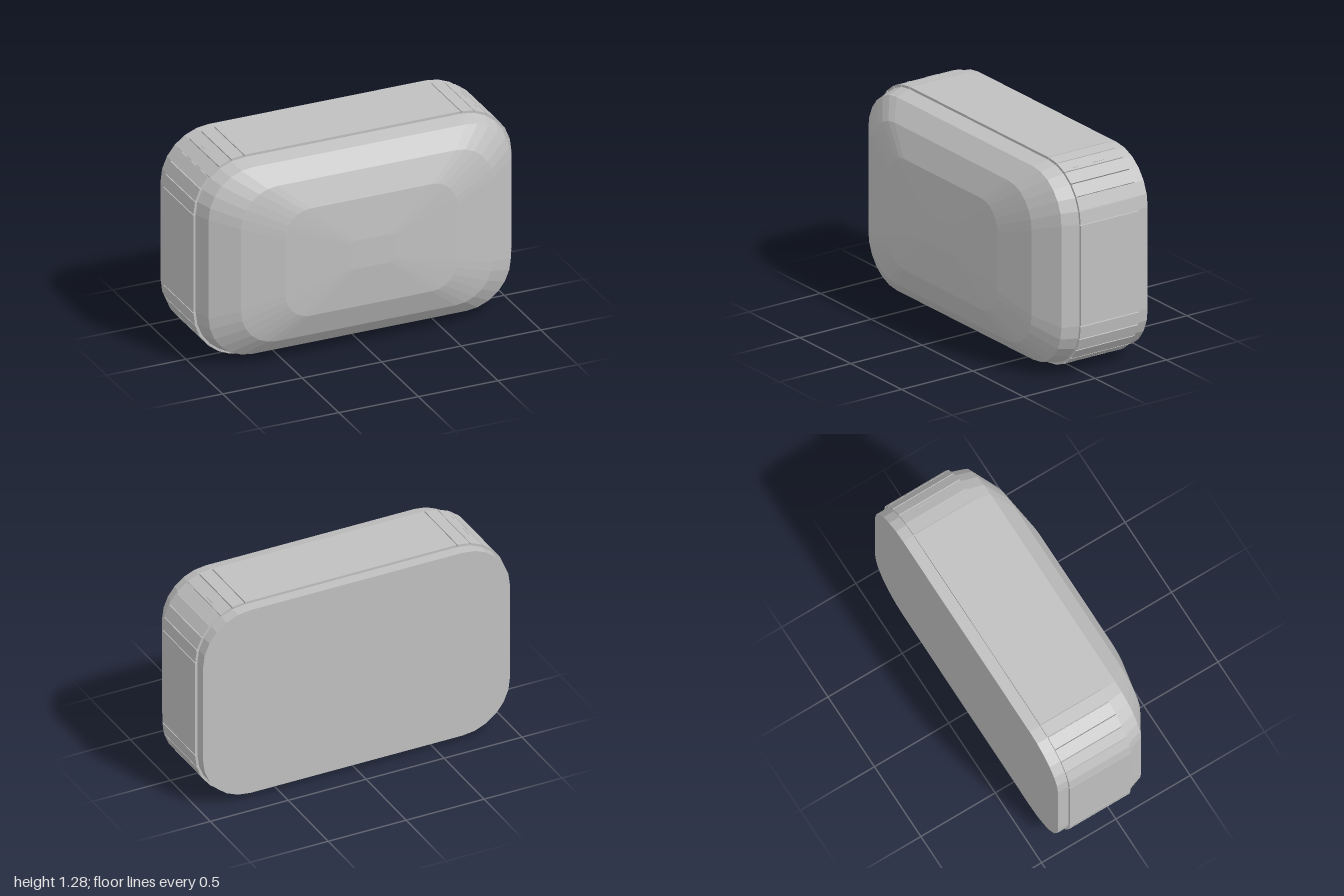
import * as THREE from 'three';

const CY = 0.648, STEPS = 6, BACK = -0.31, FRONT = 0.1, SKIN = 0.015;

// Rounded rectangle outline, anticlockwise seen from the front
function outline(hx, hy, r) {
  const pts = [];
  for (let c = 0; c < 4; c++) {
    const sx = c === 0 || c === 3 ? 1 : -1, sy = c < 2 ? 1 : -1;
    for (let i = 0; i <= STEPS; i++) {
      const a = (c + i / STEPS) * Math.PI / 2;
      pts.push([sx * (hx - r) + r * Math.cos(a), CY + sy * (hy - r) + r * Math.sin(a)]);
    }
  }
  return pts;
}

// Skin joining outlines from back to front; skip(ring, edge) leaves a face open
function loft(rings, capBack, capFront, skip = () => false) {
  const pos = [], n = rings[0].pts.length;
  const vert = (k, i) => [...rings[k].pts[i % n], rings[k].z];
  const tri = (...v) => v.forEach(p => pos.push(...p));
  for (let k = 0; k < rings.length - 1; k++) {
    for (let i = 0; i < n; i++) {
      if (skip(k, i)) continue;
      const a = vert(k, i), b = vert(k, i + 1), c = vert(k + 1, i + 1), d = vert(k + 1, i);
      tri(a, b, c);
      tri(a, c, d);
    }
  }
  const last = rings.length - 1;
  for (let i = 0; i < n; i++) {
    if (capBack) tri([0, CY, rings[0].z], vert(0, i + 1), vert(0, i));
    if (capFront) tri([0, CY, rings[last].z], vert(last, i), vert(last, i + 1));
  }
  const g = new THREE.BufferGeometry();
  g.setAttribute('position', new THREE.Float32BufferAttribute(pos, 3));
  g.computeVertexNormals();
  return g;
}

export function createModel() {
  const model = new THREE.Group();
  const grey = new THREE.MeshStandardMaterial({ color: 0xc0c0c0, flatShading: true, side: THREE.DoubleSide });
  grey.name = 'grey casing';

  const add = (name, geo, x = 0, y = 0, z = 0, parent = model) => {
    const m = new THREE.Mesh(geo, grey);
    m.name = name;
    m.position.set(x, y, z);
    parent.add(m);
    return m;
  };
  const box = (name, w, h, d, x, y, z, parent) => add(name, new THREE.BoxGeometry(w, h, d), x, y, z, parent);

  // Inner casing, open underneath where the socket plate sits
  const bottomEdge = 3 * (STEPS + 1) - 1;
  const inner = outline(0.985, 0.613, 0.303);
  add('casing', loft([-0.38, BACK, FRONT].map(z => ({ pts: inner, z })), true, false,
    (k, i) => k === 1 && i === bottomEdge));

  // Domed front built from shrinking outlines
  add('frontDome', loft([
    [0.985, 0.613, 0.303, 0.1], [0.95, 0.592, 0.28, 0.2], [0.79, 0.492, 0.23, 0.295],
    [0.54, 0.34, 0.16, 0.357], [0.14, 0.09, 0.03, 0.38],
  ].map(([hx, hy, r, z]) => ({ pts: outline(hx, hy, r), z })), false, true));

  // Band of separate panels around the casing, with narrow seams
  const band = new THREE.Group();
  band.name = 'panelBand';
  model.add(band);
  const outer = outline(1, 0.628, 0.318), depth = FRONT - BACK, midZ = (FRONT + BACK) / 2;
  outer.forEach(([ax, ay], i) => {
    if (i === bottomEdge) return;
    const [bx, by] = outer[(i + 1) % outer.length];
    const dx = bx - ax, dy = by - ay, len = Math.hypot(dx, dy);
    const nx = dy / len, ny = -dx / len;
    const p = box('bandPanel', len - 0.006, SKIN, depth,
      (ax + bx) / 2 - nx * SKIN / 2, (ay + by) / 2 - ny * SKIN / 2, midZ, band);
    p.rotation.z = Math.atan2(dy, dx);
  });

  // Bottom panel with the socket opening
  const rect = (Type, x, z0, z1) => {
    const s = new Type();
    s.moveTo(-x, -z1).lineTo(x, -z1).lineTo(x, -z0).lineTo(-x, -z0).closePath();
    return s;
  };
  const OX = 0.18, Z0 = -0.27, Z1 = 0.05, OZ = (Z0 + Z1) / 2;
  const plate = rect(THREE.Shape, 0.682, BACK, FRONT);
  plate.holes.push(rect(THREE.Path, OX, Z0, Z1));
  const plateGeo = new THREE.ExtrudeGeometry(plate, { depth: SKIN, bevelEnabled: false });
  plateGeo.rotateX(-Math.PI / 2);
  add('bottomPanel', plateGeo, 0, 0.02, 0, band);

  // Socket recess, its lip and the plug housing inside
  const socket = new THREE.Group();
  socket.name = 'socket';
  model.add(socket);
  const H = 0.18, top = 0.03 + H;
  for (const s of [-1, 1]) {
    box('socketSideWall', 0.01, H, Z1 - Z0, s * (OX + 0.005), 0.03 + H / 2, OZ, socket);
  }
  for (const z of [Z0 - 0.005, Z1 + 0.005]) {
    box('socketEndWall', 2 * OX + 0.02, H, 0.01, 0, 0.03 + H / 2, z, socket);
  }
  box('socketRoof', 2 * OX + 0.02, 0.01, Z1 - Z0 + 0.02, 0, top, OZ, socket);
  box('socketLip', 2 * OX, 0.008, 0.03, 0, 0.019, Z1 + 0.015, socket);
  box('plugHousing', 0.2, 0.06, 0.05, 0, top - 0.03, OZ, socket);
  box('plugRamp', 0.03, 0.1, 0.2, 0.1, top - 0.06, OZ, socket).rotation.z = 0.5;

  // Small latch button beside the socket
  add('latchButton', new THREE.CylinderGeometry(0.02, 0.014, 0.012, 12), 0.203, 0.006, -0.145);
  add('latchStem', new THREE.CylinderGeometry(0.01, 0.01, 0.016, 8), 0.203, 0.016, -0.145);

  // Thin ridges on the upper corners
  for (const s of [-1, 1]) {
    for (const [z, len] of [[0.01, 0.03], [-0.155, 0.08]]) {
      box('cornerRidge', 0.008, 0.004, len, s * 0.82, 1.2425, z).rotation.z = -s * Math.PI / 8;
    }
  }
  return model;
}
